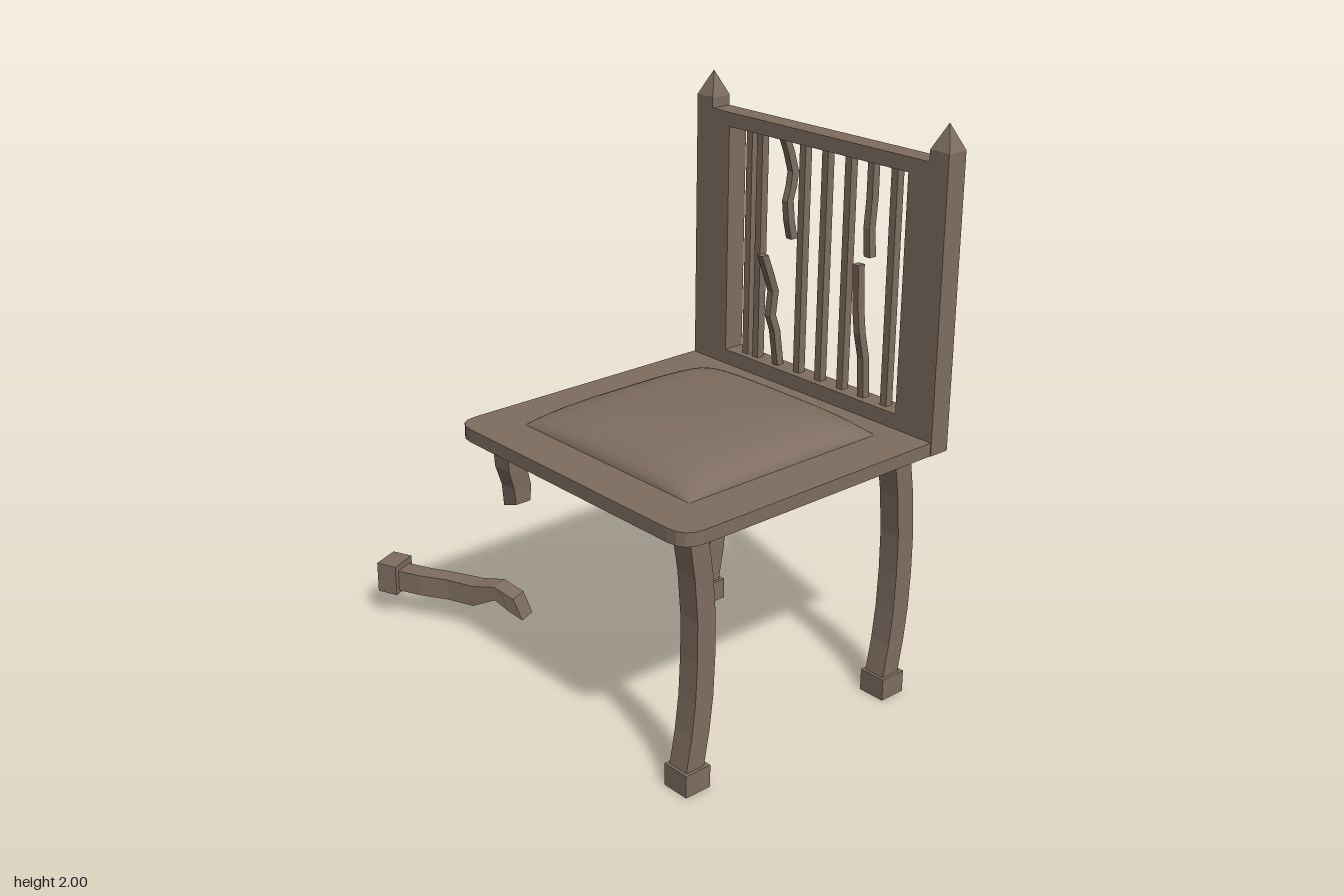
import * as THREE from 'three';

const wood = new THREE.MeshStandardMaterial({ color: 0x7f6e61 });
wood.name = 'weathered wood';

function add(parent, name, geometry, x = 0, y = 0, z = 0) {
  const mesh = new THREE.Mesh(geometry, wood);
  mesh.name = name;
  mesh.position.set(x, y, z);
  parent.add(mesh);
  return mesh;
}

// Flat-sided bar through rectangular sections [y, x, z, halfX, halfZ, tilt], listed upwards
function bar(sections) {
  const pos = [], index = [];
  for (const [y, x, z, hx, hz, tilt = 0] of sections) {
    for (const [sx, sz] of [[1, 1], [1, -1], [-1, -1], [-1, 1]]) {
      pos.push(x + sx * hx, y + sz * tilt, z + sz * hz);
    }
  }
  for (let s = 0; s < sections.length - 1; s++) {
    for (let i = 0; i < 4; i++) {
      const a = s * 4 + i, b = s * 4 + (i + 1) % 4;
      index.push(a, b, b + 4, a, b + 4, a + 4);
    }
  }
  const t = (sections.length - 1) * 4;
  index.push(0, 2, 1, 0, 3, 2, t, t + 1, t + 2, t, t + 2, t + 3);
  const indexed = new THREE.BufferGeometry();
  indexed.setAttribute('position', new THREE.Float32BufferAttribute(pos, 3));
  indexed.setIndex(index);
  const geometry = indexed.toNonIndexed();
  geometry.computeVertexNormals();
  return geometry;
}

// Seat board with rounded front corners on the -x side
function seatBoard() {
  const r = 0.08, x0 = -0.59, x1 = 0.56, y0 = -0.87, y1 = 0.28;
  const s = new THREE.Shape();
  s.moveTo(x1, y0);
  s.lineTo(x1, y1);
  s.lineTo(x0 + r, y1);
  s.quadraticCurveTo(x0, y1, x0, y1 - r);
  s.lineTo(x0, y0 + r);
  s.quadraticCurveTo(x0, y0, x0 + r, y0);
  s.closePath();
  const g = new THREE.ExtrudeGeometry(s, { depth: 0.047, bevelEnabled: false, curveSegments: 4 });
  return g.rotateX(-Math.PI / 2);
}

// Domed square cushion
function cushionTop() {
  const g = new THREE.PlaneGeometry(2, 2, 28, 28).rotateX(-Math.PI / 2);
  const p = g.attributes.position;
  const fall = (u) => Math.sqrt(Math.max(0, 1 - Math.abs(u) ** 3.5));
  for (let i = 0; i < p.count; i++) {
    const u = Math.sin(p.getX(i) * Math.PI / 2), v = Math.sin(p.getZ(i) * Math.PI / 2);
    p.setXYZ(i, u * 0.41, 0.083 * fall(u) * fall(v), v * 0.41);
  }
  g.computeVertexNormals();
  return g;
}

// Back frame with one window
function backFrame() {
  const rect = (path, a, b, c, d) => {
    path.moveTo(a, b);
    path.lineTo(c, b);
    path.lineTo(c, d);
    path.lineTo(a, d);
    path.closePath();
    return path;
  };
  const s = rect(new THREE.Shape(), -0.275, 0.907, 0.873, 1.877);
  s.holes.push(rect(new THREE.Path(), -0.11, 1.007, 0.712, 1.827));
  const g = new THREE.ExtrudeGeometry(s, { depth: 0.08, bevelEnabled: false });
  return g.rotateY(-Math.PI / 2);
}

export function createModel() {
  const model = new THREE.Group();
  model.name = 'brokenChair';

  add(model, 'seat', seatBoard(), 0, 0.907, 0);
  add(model, 'cushion', cushionTop(), -0.0175, 0.953, 0.295);
  add(model, 'backFrame', backFrame(), 0.56, 0, 0);

  // Post tops with pointed caps
  for (const z of [0.834, -0.236]) {
    add(model, 'postTop', new THREE.BoxGeometry(0.08, 0.04, 0.078), 0.52, 1.895, z);
    const cap = new THREE.ConeGeometry(0.04 * Math.SQRT2, 0.087, 4, 1).toNonIndexed().rotateY(Math.PI / 4);
    cap.computeVertexNormals();
    add(model, 'postCap', cap, 0.52, 1.9575, z);
  }

  // Whole slats
  for (const z of [0.634, 0.432, 0.327, 0.223, 0.017, -0.034]) {
    add(model, 'slat', new THREE.BoxGeometry(0.03, 0.83, 0.028), 0.52, 1.417, z);
  }

  // Snapped slats, as points [y, x, z]
  const snapped = [
    [[1, 0.52, 0.12], [1.14, 0.498, 0.12], [1.2, 0.475, 0.12], [1.29, 0.478, 0.128], [1.37, 0.438, 0.14], [1.44, 0.402, 0.149]],
    [[1.46, 0.57, 0.12], [1.53, 0.553, 0.12], [1.6, 0.545, 0.12], [1.65, 0.56, 0.12], [1.7, 0.567, 0.12], [1.77, 0.545, 0.12], [1.83, 0.52, 0.12]],
    [[1, 0.52, 0.531], [1.15, 0.51, 0.531], [1.24, 0.488, 0.531], [1.33, 0.482, 0.525], [1.485, 0.468, 0.531]],
    [[1.5, 0.52, 0.531], [1.6, 0.512, 0.531], [1.7, 0.52, 0.531], [1.83, 0.52, 0.531]],
  ];
  for (const points of snapped) {
    add(model, 'snappedSlat', bar(points.map((p) => [...p, 0.015, 0.013])));
  }

  // Bowed legs, [height, bow]
  const bow = [[0.07, -0.005], [0.2, 0.018], [0.32, 0.032], [0.46, 0.038], [0.6, 0.037], [0.75, 0.024], [0.91, -0.002]];
  for (const [x, z] of [[0.432, 0.757], [0.432, -0.15], [-0.47, 0.757]]) {
    add(model, 'leg', bar(bow.map(([y, dx]) => [y, x + dx, z, 0.037, 0.04])));
    add(model, 'foot', new THREE.BoxGeometry(0.102, 0.08, 0.102), x, 0.04, z);
  }

  // Stump of the broken leg
  add(model, 'legStump', bar([
    [0.66, -0.442, -0.15, 0.03, 0.035, 0.012],
    [0.73, -0.444, -0.15, 0.035, 0.036],
    [0.8, -0.464, -0.15, 0.037, 0.04],
    [0.91, -0.472, -0.15, 0.037, 0.04],
  ]));

  // Broken-off leg lying beside the chair; local y runs along it, -z is height
  const fallen = new THREE.Group();
  fallen.name = 'fallenLeg';
  fallen.position.set(-0.525, 0, -0.82);
  fallen.rotation.y = 0.4;
  model.add(fallen);
  add(fallen, 'fallenLegShaft', bar([
    [0.03, 0, -0.152, 0.036, 0.04],
    [0.13, 0.003, -0.152, 0.036, 0.04],
    [0.24, 0.018, -0.152, 0.034, 0.04],
    [0.35, 0.018, -0.153, 0.038, 0.04],
    [0.45, 0.008, -0.19, 0.036, 0.026],
    [0.5, 0.002, -0.17, 0.036, 0.034, 0.01],
    [0.55, 0, -0.152, 0.036, 0.038, 0.018],
  ]).rotateX(Math.PI / 2));
  add(fallen, 'fallenFoot', new THREE.BoxGeometry(0.108, 0.115, 0.08), 0, 0.158, 0);

  return model;
}
